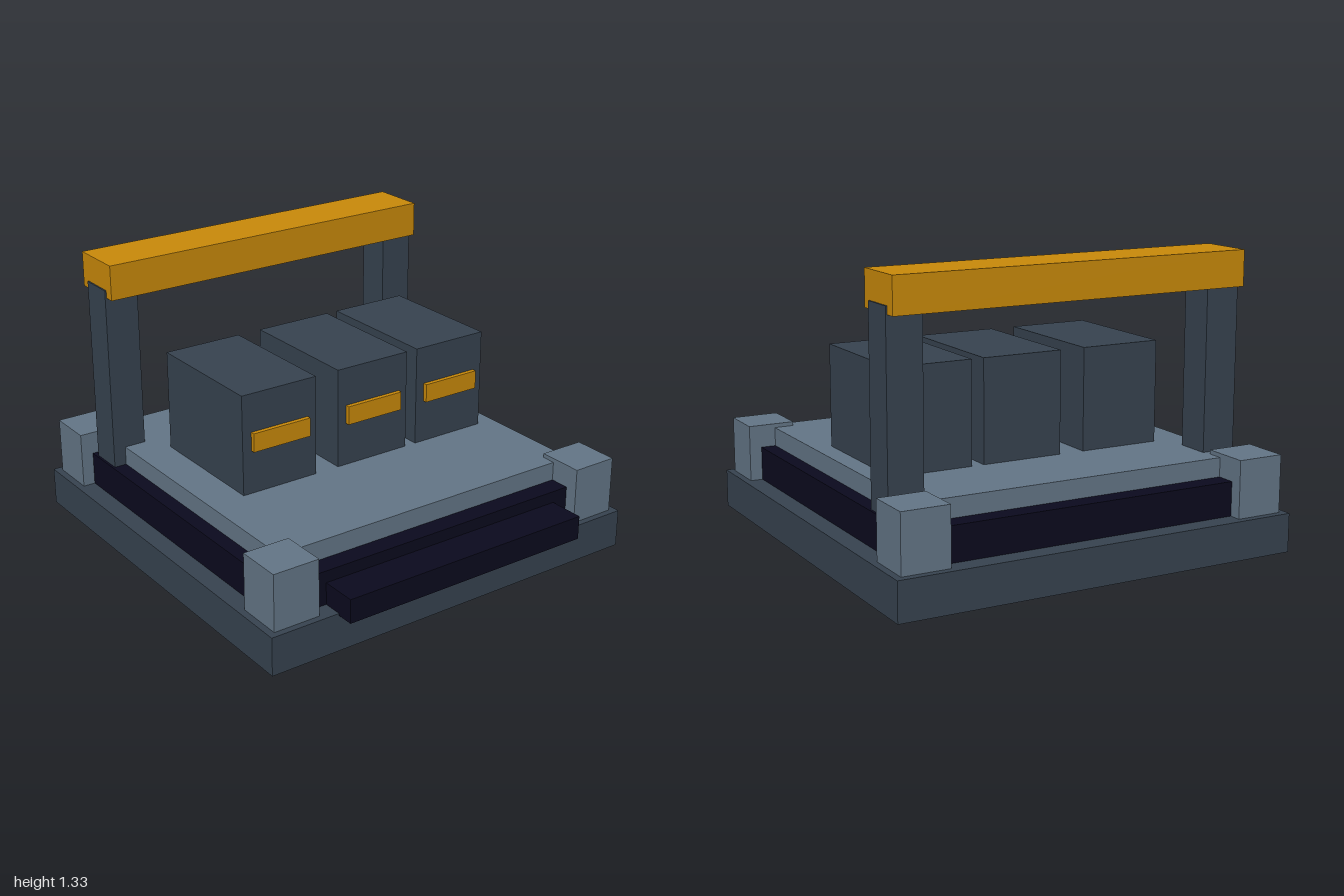
import * as THREE from 'three';

export function createModel() {
  const model = new THREE.Group();
  model.name = 'loadingPlatform';

  const paint = (name, color) => {
    const m = new THREE.MeshStandardMaterial({ color });
    m.name = name;
    return m;
  };
  const slate = paint('darkSlate', 0x374350);
  const steel = paint('steelBlueGrey', 0x647687);
  const navy = paint('nearBlackNavy', 0x0b0a1e);
  const amber = paint('amber', 0xca8a0a);

  // Box given by its extents along each axis
  const box = (name, mat, [x0, x1], [y0, y1], [z0, z1]) => {
    const mesh = new THREE.Mesh(new THREE.BoxGeometry(x1 - x0, y1 - y0, z1 - z0), mat);
    mesh.position.set((x0 + x1) / 2, (y0 + y1) / 2, (z0 + z1) / 2);
    mesh.name = name;
    model.add(mesh);
  };

  // Stacked platform and front step
  box('base', slate, [-0.96, 0.96], [0, 0.178], [-1, 0.92]);
  box('plinth', navy, [-0.87, 0.87], [0.178, 0.335], [-0.91, 0.83]);
  box('deck', steel, [-0.8, 0.8], [0.335, 0.423], [-0.82, 0.737]);
  box('frontStep', navy, [-0.63, 0.63], [0.168, 0.28], [0.78, 1]);

  // Corner blocks and gantry posts, mirrored left and right
  for (const [side, s] of [['left', 1], ['right', -1]]) {
    const span = (a, b) => (s > 0 ? [a, b] : [-b, -a]);
    box(side + 'FrontCornerBlock', steel, span(0.707, 0.928), [0.178, 0.442], [0.67, 0.89]);
    box(side + 'BackCornerBlock', steel, span(0.707, 0.928), [0.178, 0.442], [-0.967, -0.745]);
    box(side + 'GantryPost', slate, span(0.696, 0.859), [0.335, 1.203], [-0.71, -0.547]);
  }
  box('gantryBeam', amber, [-0.852, 0.852], [1.167, 1.33], [-0.76, -0.5]);

  // Unevenly spaced crates, each with a front label bar
  [-0.433, 0.073, 0.517].forEach((x, i) => {
    box('crate' + (i + 1), slate, [x - 0.193, x + 0.193], [0.423, 0.895], [-0.427, 0.203]);
    box('crateLabel' + (i + 1), amber, [x - 0.148, x + 0.148], [0.627, 0.715], [0.203, 0.224]);
  });

  return model;
}
